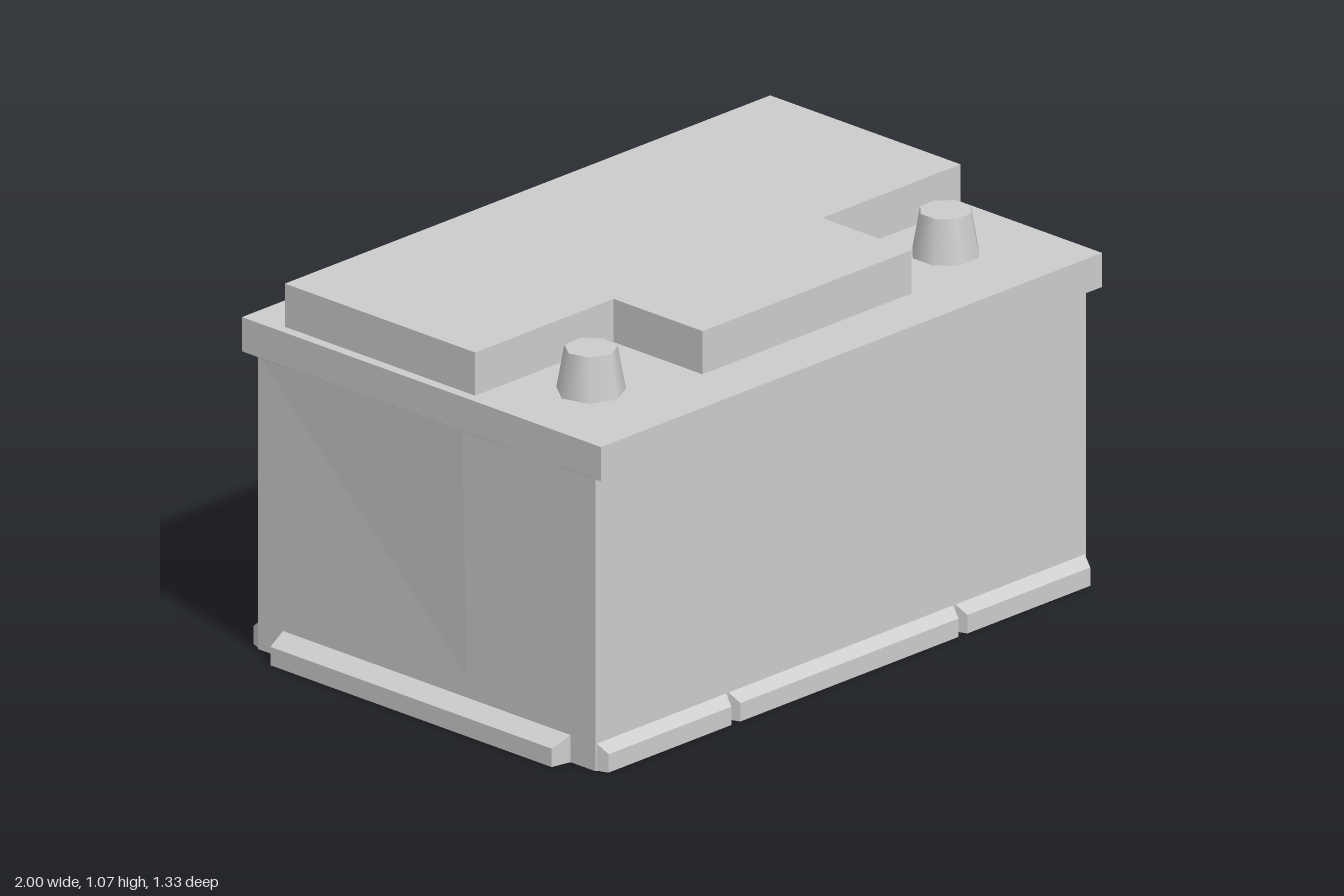
import * as THREE from 'three';

const mat = new THREE.MeshStandardMaterial({ color: 0xcccccc });
const flat = new THREE.MeshStandardMaterial({ color: 0xcccccc, flatShading: true, side: THREE.DoubleSide });

export function createModel() {
  const model = new THREE.Group();
  const add = (name, geometry, material = mat) => {
    const mesh = new THREE.Mesh(geometry, material);
    mesh.name = name;
    model.add(mesh);
    return mesh;
  };
  const box = (w, y0, y1, d) => new THREE.BoxGeometry(w, y1 - y0, d).translate(0, (y0 + y1) / 2, 0);
  // Moves every vertex by a rule, then refreshes the normals
  const reshape = (geometry, rule) => {
    const p = geometry.attributes.position;
    const v = new THREE.Vector3();
    for (let i = 0; i < p.count; i++) {
      rule(v.fromBufferAttribute(p, i));
      p.setXYZ(i, v.x, v.y, v.z);
    }
    geometry.computeVertexNormals();
    return geometry;
  };

  // Case
  add('caseBody', box(1.88, 0, 0.86, 1.25));

  // Slight bulge under the rim on one short side
  const bulge = new THREE.BufferGeometry();
  bulge.setAttribute('position', new THREE.Float32BufferAttribute([
    -0.96, 0.845, 0.15, -0.94, 0.845, -0.625, -0.94, 0.14, 0.15,
    -0.96, 0.845, 0.15, -0.94, 0.14, 0.15, -0.94, 0.845, 0.625,
  ], 3));
  bulge.computeVertexNormals();
  add('caseBulge', bulge, flat);

  // Overhanging rim with a shallow sloped underside
  add('rim', box(1.92, 0.85, 0.948, 1.33));
  add('rimUnderside', reshape(box(1.92, 0.838, 0.85, 1.33), (v) => {
    if (v.y < 0.845) v.set(Math.sign(v.x) * 0.94, v.y, Math.sign(v.z) * 0.625);
  }));

  // Raised cover: wide at the back, with a tongue between the terminals
  const outline = new THREE.Shape([
    [-0.93, 0.535], [-0.93, -0.17], [-0.4, -0.17], [-0.4, -0.5],
    [0.4, -0.5], [0.4, -0.17], [0.93, -0.17], [0.93, 0.535],
  ].map(([x, y]) => new THREE.Vector2(x, y)));
  const cover = new THREE.ExtrudeGeometry(outline, { depth: 0.127, bevelEnabled: false });
  add('cover', cover.rotateX(-Math.PI / 2).translate(0, 0.945, 0));

  // Tapered terminal posts
  const terminal = (name, x, rTop, rBottom, sides, start) => add(name,
    new THREE.CylinderGeometry(rTop, rBottom, 0.127, sides, 1, false, start).translate(x, 1.0085, 0.366));
  terminal('leftTerminal', 0.67, 0.073, 0.096, 8, Math.PI / 8);
  terminal('rightTerminal', -0.69, 0.073, 0.096, 7, 4.54);

  // Hold-down rails: sloped top and bevelled ends, running along x and facing +z
  const rail = (name, length, out, centre, inner, angle) => {
    const g = reshape(box(length, 0, 0.078, out), (v) => {
      if (v.z > 0) {
        v.x -= Math.sign(v.x) * 0.012;
        if (v.y > 0.04) v.y = 0.053;
      }
    });
    add(name, g.translate(centre, 0, inner + out / 2).rotateY(angle));
  };
  for (const [side, angle] of [['front', 0], ['back', Math.PI]]) {
    rail(side + 'RailMiddle', 0.86, 0.032, 0, 0.625, angle);
    for (const s of [-1, 1]) rail(side + 'RailEnd', 0.495, 0.032, s * 0.6875, 0.625, angle);
  }
  rail('leftRail', 1.065, 0.06, 0, 0.94, Math.PI / 2);
  rail('rightRail', 1.065, 0.06, 0, 0.94, -Math.PI / 2);

  return model;
}
